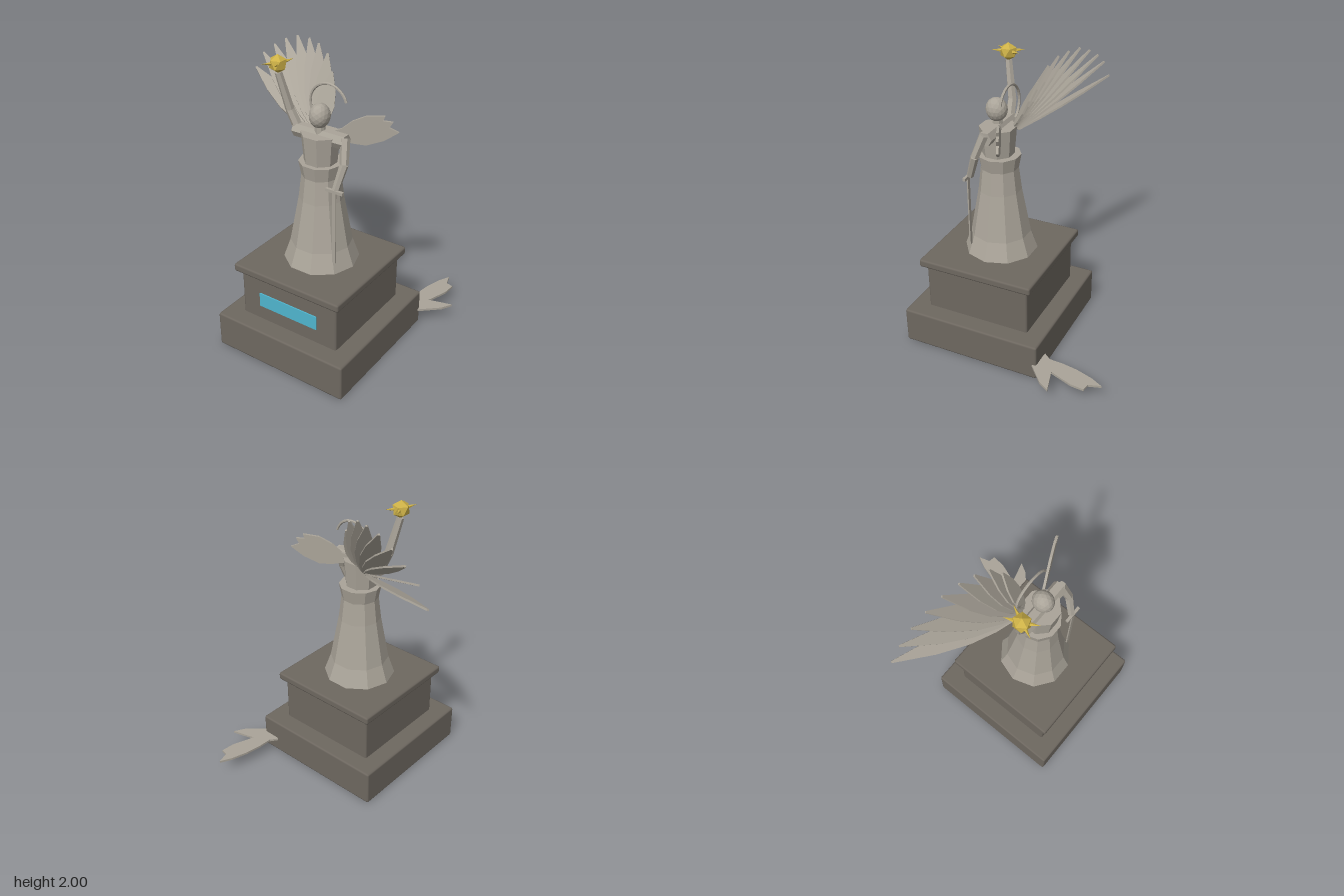
import * as THREE from 'three';
import { RoundedBoxGeometry } from 'three/addons/geometries/RoundedBoxGeometry.js';

const V = (x, y, z) => new THREE.Vector3(x, y, z);

function material(name, color) {
  const m = new THREE.MeshStandardMaterial({ color });
  m.name = name;
  return m;
}

export function createModel() {
  const model = new THREE.Group();
  model.name = 'wingedStatue';
  const darkStone = material('darkStone', 0x6e6860);
  const paleStone = material('paleStone', 0xaaa499);
  const gold = material('gold', 0xcdb147);
  const cyan = material('cyan', 0x50b5ce);
  paleStone.flatShading = gold.flatShading = true;

  const CX = 0.09, CZ = 0.225;

  function add(name, geometry, mat, x = 0, y = 0, z = 0, parent = model) {
    const mesh = new THREE.Mesh(geometry, mat);
    mesh.name = name;
    mesh.position.set(x, y, z);
    parent.add(mesh);
    return mesh;
  }

  // Tapered rod between two points
  function rod(name, a, b, r0, r1, mat = paleStone, sides = 6) {
    const dir = b.clone().sub(a);
    const mesh = add(name, new THREE.CylinderGeometry(r1, r0, dir.length(), sides), mat);
    mesh.position.copy(a).addScaledVector(dir, 0.5);
    mesh.quaternion.setFromUnitVectors(V(0, 1, 0), dir.normalize());
    return mesh;
  }

  // Thin plate cut from an outline, centred on its own thickness
  function plate(points, depth) {
    const shape = new THREE.Shape(points.map(([x, y]) => new THREE.Vector2(x, y)));
    return new THREE.ExtrudeGeometry(shape, { depth, bevelEnabled: false }).translate(0, 0, -depth / 2);
  }

  // Stepped plinth with plaque
  [['plinthBase', 1.0, 0, 0.255], ['plinthBlock', 0.75, 0.24, 0.6], ['plinthCap', 0.825, 0.585, 0.64]]
    .forEach(([name, w, y0, y1]) =>
      add(name, new RoundedBoxGeometry(w, y1 - y0, w, 1, 0.014), darkStone, CX, (y0 + y1) / 2, CZ));
  add('plaque', new THREE.BoxGeometry(0.455, 0.1, 0.009), cyan, CX, 0.41, CZ + 0.379);

  // Ten-sided gown
  const gownProfile = [[0, 0.635], [0.25, 0.64], [0.205, 0.77], [0.146, 1.09], [0.127, 1.25], [0.145, 1.345], [0, 1.345]]
    .map(([r, y]) => new THREE.Vector2(r, y));
  add('gown', new THREE.LatheGeometry(gownProfile, 10, Math.PI / 2), paleStone, CX, 0, 0.22);

  // Torso, shoulders, neck and head
  const torso = add('torso', new THREE.CylinderGeometry(0.123, 0.105, 0.2, 8, 1, false, Math.PI / 8),
    paleStone, CX, 1.435, 0.228);
  torso.scale.x = 1.03;
  rod('shoulders', V(-0.1, 1.517, 0.225), V(0.28, 1.517, 0.225), 0.05, 0.05);
  add('neck', new THREE.CylinderGeometry(0.032, 0.036, 0.09, 8), paleStone, CX, 1.575, 0.23);
  add('head', new THREE.IcosahedronGeometry(1, 2), paleStone, CX, 1.65, 0.233).scale.set(0.065, 0.08, 0.073);

  // Broken halo
  const halo = add('brokenHalo', new THREE.TorusGeometry(0.137, 0.009, 6, 20, THREE.MathUtils.degToRad(217)),
    paleStone, CX, 1.688, 0.14);
  halo.rotation.z = THREE.MathUtils.degToRad(18);

  // Lowered left arm and sword
  const elbowL = V(0.305, 1.395, 0.285);
  rod('leftUpperArm', V(0.275, 1.545, 0.23), elbowL, 0.032, 0.028);
  rod('leftForearm', elbowL, V(0.28, 1.24, 0.338), 0.028, 0.024);
  add('swordGuard', new THREE.BoxGeometry(0.125, 0.02, 0.02), paleStone, 0.28, 1.235, 0.35);
  add('swordBlade', new THREE.BoxGeometry(0.026, 0.52, 0.009), paleStone, 0.28, 0.98, 0.354);

  // Raised right arm
  const elbowR = V(-0.135, 1.64, 0.235);
  rod('rightUpperArm', V(-0.075, 1.515, 0.225), elbowR, 0.034, 0.03);
  rod('rightForearm', elbowR, V(-0.183, 1.885, 0.28), 0.03, 0.024);

  // Faceted star with four spikes
  const starCentre = V(-0.183, 1.94, 0.282);
  const star = add('star', new THREE.IcosahedronGeometry(0.06, 0), gold);
  star.position.copy(starCentre);
  star.rotation.z = Math.atan(2 / (1 + Math.sqrt(5)));
  for (const sx of [-1, 1]) for (const sz of [-1, 1]) {
    const dir = V(sx * 0.046, 0.014, sz * 0.096);
    rod('starSpike', starCentre.clone().addScaledVector(dir, 0.35), starCentre.clone().add(dir), 0.013, 0.0005, gold, 5);
  }

  // Whole right wing: a fan of leaf-shaped feathers, each twisted on its shaft
  const wing = new THREE.Group();
  wing.name = 'rightWing';
  model.add(wing);
  const tips = [
    [-0.765, 1.655, -0.205], [-0.685, 1.78, -0.195], [-0.58, 1.86, -0.187],
    [-0.47, 1.925, -0.17], [-0.355, 1.972, -0.148], [-0.24, 1.982, -0.12],
    [-0.145, 1.975, -0.09], [-0.055, 1.935, -0.06], [0.01, 1.84, -0.015],
  ];
  const fanNormal = V(-0.33, 0.39, 0.86).normalize();
  const twist = THREE.MathUtils.degToRad(45);
  tips.forEach((tip, i) => {
    const t = i / (tips.length - 1);
    const root = V(-0.03, 1.48, 0.14).lerp(V(0.03, 1.51, 0.15), t);
    const d = V(...tip).sub(root);
    const len = d.length();
    d.normalize();
    const n0 = fanNormal.clone().addScaledVector(d, -fanNormal.dot(d)).normalize();
    const p = d.clone().cross(n0);
    const n = n0.multiplyScalar(Math.cos(twist)).addScaledVector(p, Math.sin(twist));
    const w = 0.06;
    const leaf = plate([
      [-0.012, 0], [0.012, 0], [w * 0.75, len * 0.2], [w, len * 0.42], [w * 0.8, len * 0.68],
      [0.006, len], [-0.006, len], [-w * 0.8, len * 0.68], [-w, len * 0.42], [-w * 0.75, len * 0.2],
    ], 0.012);
    const feather = add('feather', leaf, paleStone, 0, 0, 0, wing);
    feather.quaternion.setFromRotationMatrix(new THREE.Matrix4().makeBasis(d.clone().cross(n), d, n));
    feather.position.copy(root);
  });

  // Broken left wing stub, swept back
  const sweep = Math.atan2(0.15, 0.32);
  const stub = plate([
    [0.1, 1.5], [0.2, 1.49], [0.26, 1.472], [0.34, 1.465], [0.44, 1.505], [0.52, 1.565], [0.465, 1.592],
    [0.485, 1.63], [0.43, 1.635], [0.44, 1.665], [0.34, 1.66], [0.26, 1.62], [0.2, 1.565], [0.1, 1.53],
  ].map(([x, y]) => [(x - 0.1) / Math.cos(sweep), y]), 0.016);
  add('brokenLeftWing', stub, paleStone, 0.1, 0, 0.205).rotation.y = sweep;

  // Fallen wing fragment lying flat behind the plinth
  const fragment = plate([
    [0.452, -0.28], [0.489, -0.33], [0.493, -0.423], [0.51, -0.534], [0.545, -0.65], [0.587, -0.733],
    [0.612, -0.65], [0.663, -0.64], [0.655, -0.546], [0.6, -0.39], [0.764, -0.435], [0.72, -0.36], [0.592, -0.245],
  ].map(([x, z]) => [x, -z]), 0.016);
  add('fallenWingFragment', fragment, paleStone, 0, 0.107, 0).rotation.x = -Math.PI / 2;

  return model;
}
